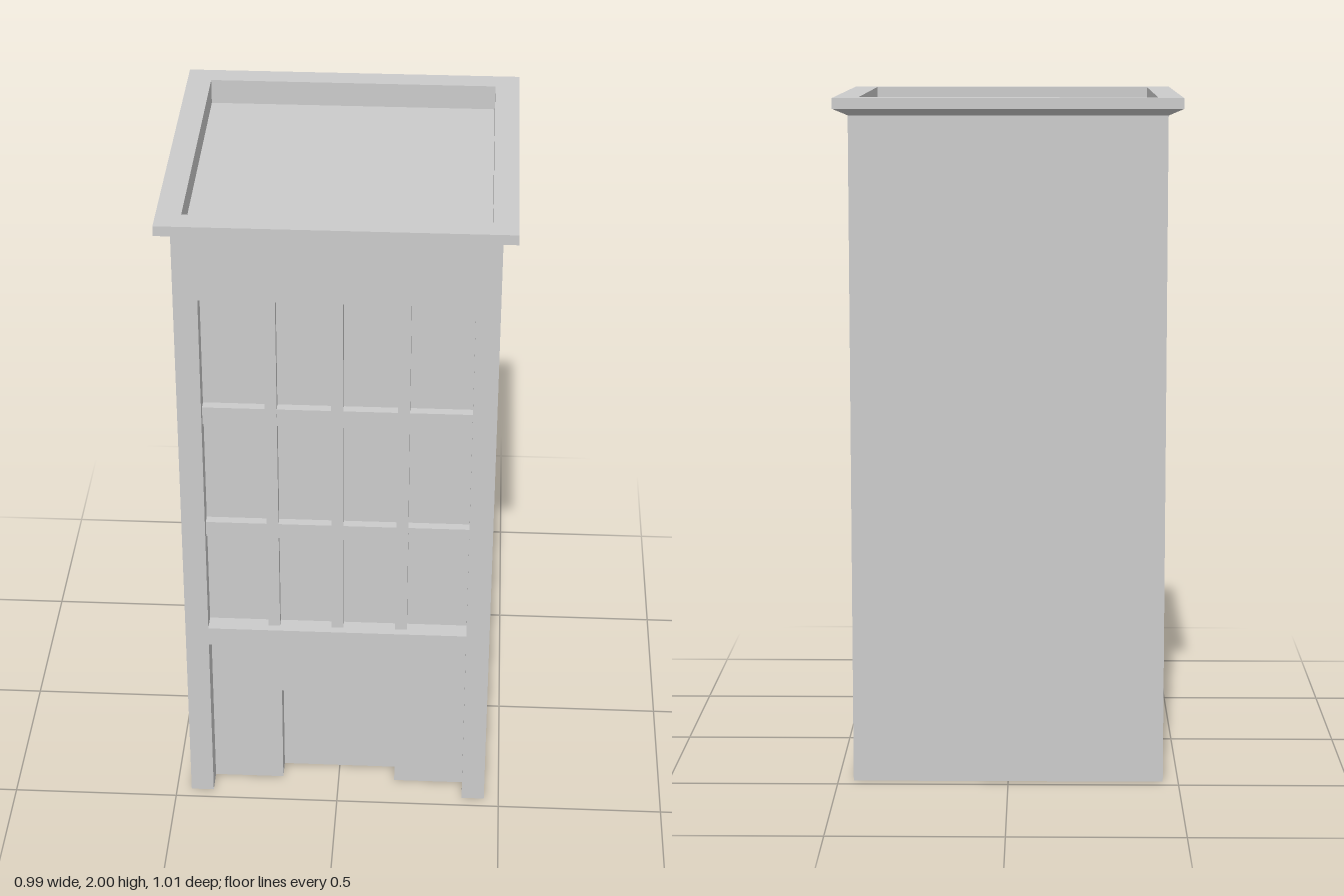
import * as THREE from 'three';

const mat = new THREE.MeshStandardMaterial({ color: 0xcccccc, side: THREE.DoubleSide });
const HX = 0.455, HZ = 0.465;      // half width and half depth of the body
const WALL_TOP = 1.95;
const ROWS = [[0.615, 0.94], [0.99, 1.33], [1.385, 1.75]];

function add(parent, name, geometry, z = 0) {
  const mesh = new THREE.Mesh(geometry, mat);
  mesh.name = name;
  mesh.position.z = z;
  parent.add(mesh);
  return mesh;
}

// Flat-shaded strip of quads between two corner loops (lists of [x, y, z])
function bridge(a, b, closed = true) {
  const pos = [];
  const n = a.length;
  for (let i = 0; i < (closed ? n : n - 1); i++) {
    const j = (i + 1) % n;
    pos.push(...a[i], ...a[j], ...b[j], ...a[i], ...b[j], ...b[i]);
  }
  const g = new THREE.BufferGeometry();
  g.setAttribute('position', new THREE.Float32BufferAttribute(pos, 3));
  g.computeVertexNormals();
  return g;
}

const points = list => list.map(([x, y]) => new THREE.Vector2(x, y));
const rect = (x0, x1, y0, y1) => [[x0, y0], [x1, y0], [x1, y1], [x0, y1]];

// Flat sheet facing +z, with optional openings
function sheet(outline, openings = []) {
  const s = new THREE.Shape(points(outline));
  for (const o of openings) s.holes.push(new THREE.Path(points(o)));
  return new THREE.ShapeGeometry(s);
}

// Outline of a wall with a doorway-like notch rising from the ground
const notched = (w, top, nw, ntop) => [
  [-w, 0], [-nw, 0], [-nw, ntop], [nw, ntop], [nw, 0], [w, 0], [w, top], [-w, top]];

// Jambs and head of an opening that reaches the ground
function doorReveal(w, top, zFront, zBack) {
  const loop = [[w, 0], [w, top], [-w, top], [-w, 0]];
  return bridge(loop.map(p => [...p, zBack]), loop.map(p => [...p, zFront]), false);
}

// Four reveals of a window; the sill may rise towards the pane
function windowReveal(x0, x1, y0, y1, zFront, zBack, rise = 0) {
  const front = rect(x0, x1, y0, y1).map(p => [...p, zFront]);
  const back = rect(x0, x1, y0 + rise, y1).map(p => [...p, zBack]);
  return bridge(front, back);
}

function buildFront() {
  const g = new THREE.Group();
  g.name = 'frontFacade';
  const W = 0.386, Y0 = 0.623, Y1 = 1.75;
  add(g, 'frontWall', sheet(notched(HX, WALL_TOP, W, 0.5625), [rect(-W, W, Y0, Y1)]), HZ);

  // Stepped entrance
  const shop = HZ - 0.075, door = HZ - 0.14;
  add(g, 'entranceReveal', doorReveal(W, 0.5625, HZ, shop));
  add(g, 'entranceWall', sheet(notched(W, 0.5625, 0.174, 0.34)), shop);
  add(g, 'doorReveal', doorReveal(0.174, 0.34, shop, door));
  add(g, 'door', sheet(rect(-0.174, 0.174, 0, 0.34)), door);

  // Large window with mullions and floor bands
  const glass = HZ - 0.055;
  add(g, 'windowReveal', windowReveal(-W, W, Y0, Y1, HZ, glass));
  add(g, 'windowPane', sheet(rect(-W, W, Y0, Y1)), glass);
  for (const x of [-0.19, 0, 0.19]) {
    const m = add(g, 'mullion', new THREE.BoxGeometry(0.035, Y1 - Y0, 0.03), glass + 0.015);
    m.position.set(x, (Y0 + Y1) / 2, glass + 0.015);
  }
  for (let i = 0; i < 2; i++) {
    const lo = ROWS[i][1], hi = ROWS[i + 1][0];
    const b = add(g, 'floorBand', new THREE.BoxGeometry(2 * W, hi - lo, 0.028), glass + 0.014);
    b.position.y = (lo + hi) / 2;
  }
  return g;
}

// side = 1 for the +x wall, -1 for the -x wall
function buildSide(side) {
  const g = new THREE.Group();
  g.name = side > 0 ? 'leftSide' : 'rightSide';
  const glass = HX - 0.065;
  const openings = [];
  for (const [za, zb] of [[0.048, 0.259], [-0.206, 0]]) {
    const [x0, x1] = side > 0 ? [-zb, -za] : [za, zb];
    ROWS.forEach(([y0, y1], i) => {
      const rise = i === 0 ? 0.01 : 0;
      openings.push(rect(x0, x1, y0, y1));
      add(g, 'sideWindowReveal', windowReveal(x0, x1, y0, y1, HX, glass, rise));
      add(g, 'sideWindowPane', sheet(rect(x0, x1, y0 + rise, y1)), glass);
    });
  }
  add(g, 'sideWall', sheet(rect(-HZ, HZ, 0, WALL_TOP), openings), HX);
  g.rotation.y = side * Math.PI / 2;
  return g;
}

function buildRoof() {
  const g = new THREE.Group();
  g.name = 'roof';
  const ring = (x, z, y) => [[-x, y, z], [x, y, z], [x, y, -z], [-x, y, -z]];
  const CX = 0.497, CZ = 0.504, IX = 0.426, IZ = 0.4325, FLOOR = 1.925;
  // Cornice from the wall head out, up, and over the parapet
  const profile = [
    ['corniceSoffit', ring(HX, HZ, WALL_TOP)],
    ['corniceFascia', ring(CX, CZ, 1.97)],
    ['parapetTop', ring(CX, CZ, 2)],
    ['parapetInside', ring(IX, IZ, 2)],
    ['', ring(IX, IZ, FLOOR)]];
  for (let i = 0; i < 4; i++) add(g, profile[i][0], bridge(profile[i][1], profile[i + 1][1]));
  const deck = add(g, 'roofDeck', new THREE.PlaneGeometry(2 * IX, 2 * IZ));
  deck.rotation.x = -Math.PI / 2;
  deck.position.y = FLOOR;
  return g;
}

export function createModel() {
  const model = new THREE.Group();
  model.name = 'townBuilding';
  model.add(buildFront(), buildSide(1), buildSide(-1), buildRoof());
  // Plain back wall; the underside stays open
  const back = add(model, 'backWall', sheet(rect(-HX, HX, 0, WALL_TOP)), -HZ);
  back.rotation.y = Math.PI;
  return model;
}
